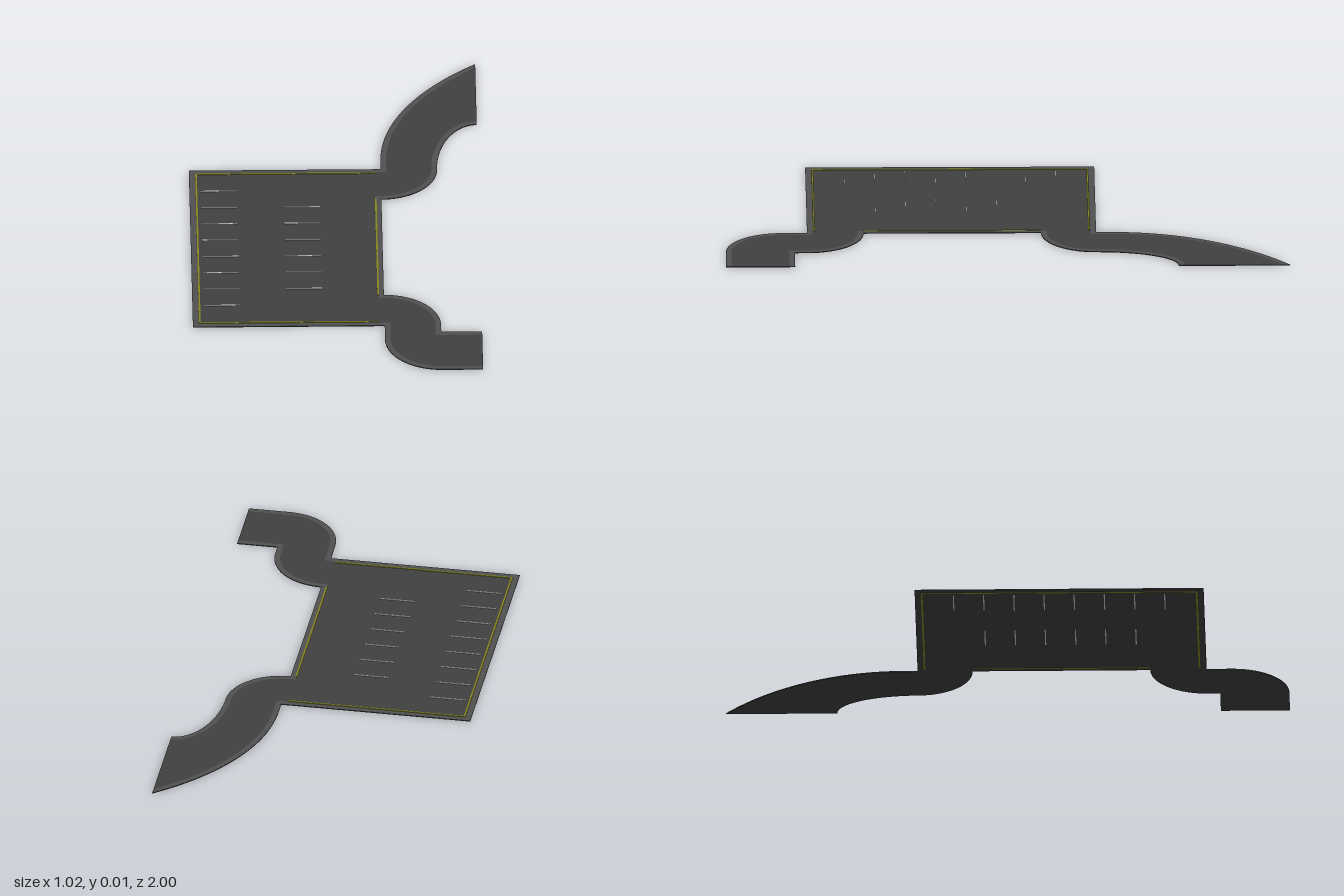
import * as THREE from 'three';

const asphalt = new THREE.MeshStandardMaterial({ color: 0x404040 });
const edging = new THREE.MeshStandardMaterial({ color: 0x505050, side: THREE.DoubleSide });
const yellow = new THREE.MeshStandardMaterial({ color: 0x86861e });
const white = new THREE.MeshStandardMaterial({ color: 0xdddddd });

// Lot limits on the ground (path y is used as z)
const X0 = -0.515, X1 = 0.165, Z0 = -0.315, Z1 = 0.71;
const TOP = 0.004;

// Outline from the rear road mouth, past the lot, to the front road mouth
function eastEdge() {
  const p = new THREE.Path();
  p.moveTo(0.51, -0.605);
  p.absellipse(0.51, Z0, 0.145, 0.29, -Math.PI / 2, -Math.PI, true);
  p.absellipse(X1, Z0, 0.2, 0.195, 0, Math.PI / 2, false);
  p.lineTo(X1, 0.51);
  p.absellipse(X1, Z1, 0.2, 0.2, -Math.PI / 2, 0, false);
  p.lineTo(0.365, 0.755);
  p.lineTo(0.51, 0.755);
  return clean(p.getPoints(20));
}

// Outline from the front road mouth, around the lot, to the rear road tip
function westEdge() {
  const p = new THREE.Path();
  p.moveTo(0.51, 1);
  p.lineTo(0.365, 1);
  p.absellipse(0.365, 0.8, 0.2, 0.2, Math.PI / 2, Math.PI, false);
  p.lineTo(X1, Z1);
  p.lineTo(X0, Z1);
  p.lineTo(X0, Z0);
  p.lineTo(X1, Z0);
  p.lineTo(X1, -0.38);
  p.bezierCurveTo(0.17, -0.62, 0.3, -0.84, 0.51, -1);
  return clean(p.getPoints(20));
}

function clean(points) {
  return points.filter((p, i) => i === 0 || p.distanceTo(points[i - 1]) > 1e-4);
}

// Flat border strip, mitred inward from an outline
function borderGeometry(points, width, y) {
  const positions = [], index = [];
  const normal = (a, b) => {
    const d = b.clone().sub(a).normalize();
    return new THREE.Vector2(-d.y, d.x);
  };
  points.forEach((p, i) => {
    const before = normal(points[Math.max(i - 1, 0)], points[Math.max(i, 1)]);
    const last = points.length - 1;
    const after = normal(points[Math.min(i, last - 1)], points[Math.min(i + 1, last)]);
    const m = before.clone().add(after).normalize();
    const q = p.clone().addScaledVector(m, width / m.dot(after));
    positions.push(p.x, y, p.y, Math.min(q.x, 0.51), y, q.y);
    if (i < last) {
      const k = i * 2;
      index.push(k, k + 1, k + 2, k + 1, k + 3, k + 2);
    }
  });
  const g = new THREE.BufferGeometry();
  g.setAttribute('position', new THREE.Float32BufferAttribute(positions, 3));
  g.setIndex(index);
  g.computeVertexNormals();
  return g;
}

export function createModel() {
  const group = new THREE.Group();
  const add = (name, geometry, material) => {
    const mesh = new THREE.Mesh(geometry, material);
    mesh.name = name;
    group.add(mesh);
    return mesh;
  };
  // Painted line running through the thin pavement
  const line = (name, xa, xb, za, zb, material) => {
    const mesh = add(name, new THREE.BoxGeometry(xb - xa, 0.006, zb - za), material);
    mesh.position.set((xa + xb) / 2, 0.003, (za + zb) / 2);
  };

  // Pavement: lot and both access roads
  const east = eastEdge(), west = westEdge();
  const ground = new THREE.ExtrudeGeometry(new THREE.Shape([...east, ...west]), {
    depth: TOP - 0.001, bevelEnabled: false,
  });
  ground.rotateX(Math.PI / 2).translate(0, TOP, 0);
  add('pavement', ground, asphalt);

  // Lighter border along the pavement edges
  add('eastBorder', borderGeometry(east, 0.02, TOP + 0.0005), edging);
  add('westBorder', borderGeometry(west, 0.02, TOP + 0.0005), edging);

  // Yellow perimeter lines
  const w = 0.003;
  line('leftPerimeterLine', -0.49 - w, -0.49 + w, -0.29, 0.685, yellow);
  line('frontPerimeterLine', -0.49, 0.145, 0.685 - w, 0.685 + w, yellow);
  line('rearPerimeterLine', -0.49, 0.145, -0.29 - w, -0.29 + w, yellow);
  line('rightPerimeterLine', 0.145 - w, 0.145 + w, -0.12, 0.51, yellow);

  // White stall lines: eight along the side, six in the middle
  for (let i = 0; i < 8; i++) {
    const z = -0.178 + i * 0.107;
    line('sideStallLine', -0.475, -0.347, z - 0.002, z + 0.002, white);
    if (i > 0 && i < 7) line('middleStallLine', -0.18, -0.054, z - 0.002, z + 0.002, white);
  }
  return group;
}
